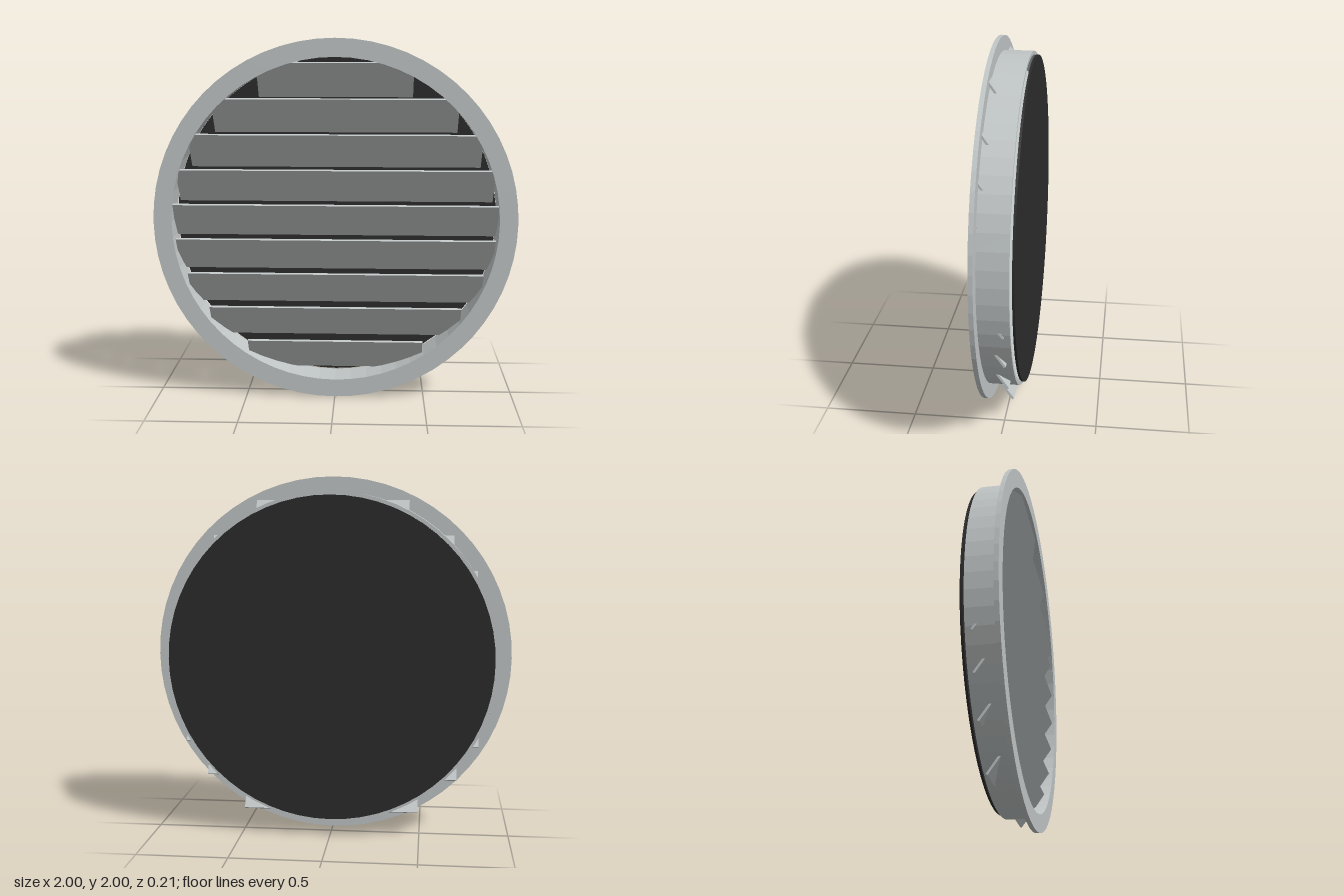
import * as THREE from 'three';

const aluminium = new THREE.MeshStandardMaterial({ color: 0xc0c5c5 });
aluminium.name = 'aluminium';
const darkMesh = new THREE.MeshStandardMaterial({ color: 0x2b2b2b });
darkMesh.name = 'dark screen';

const INNER = 0.9;
const SIDES = 64;

// flat-sided ring with a rectangular section, running from z0 to z1
function ring(name, outer, z0, z1) {
  const profile = [[INNER, z0], [outer, z0], [outer, z1], [INNER, z1], [INNER, z0]]
    .map(([r, z]) => new THREE.Vector2(r, z));
  const geometry = new THREE.LatheGeometry(profile, SIDES).toNonIndexed();
  geometry.rotateX(Math.PI / 2);
  geometry.computeVertexNormals();
  const mesh = new THREE.Mesh(geometry, aluminium);
  mesh.name = name;
  mesh.position.y = 1;
  return mesh;
}

export function createModel() {
  const group = new THREE.Group();
  group.name = 'roundVent';

  // front flange and the duct collar behind it
  group.add(ring('flange', 1, 0.08, 0.104));
  group.add(ring('collar', 0.92, -0.08, 0.08));

  // tilted slats, cut square, so their corners poke through the collar
  const slats = new THREE.Group();
  slats.name = 'slats';
  for (let i = -4; i <= 4; i++) {
    const offset = i * 0.1935;
    const halfWidth = Math.sqrt(INNER ** 2 - (offset + 0.02) ** 2);
    const slat = new THREE.Mesh(new THREE.BoxGeometry(halfWidth * 2, 0.012, 0.23), aluminium);
    slat.name = 'slat';
    slat.position.set(0, 1.002 + offset, 0.02);
    slat.rotation.x = THREE.MathUtils.degToRad(-55);
    slats.add(slat);
  }
  group.add(slats);

  // dark insect screen just behind the collar
  const screen = new THREE.Mesh(new THREE.CylinderGeometry(INNER, INNER, 0.012, SIDES), darkMesh);
  screen.name = 'screen';
  screen.rotation.x = Math.PI / 2;
  screen.position.set(0, 1, -0.098);
  group.add(screen);

  return group;
}
